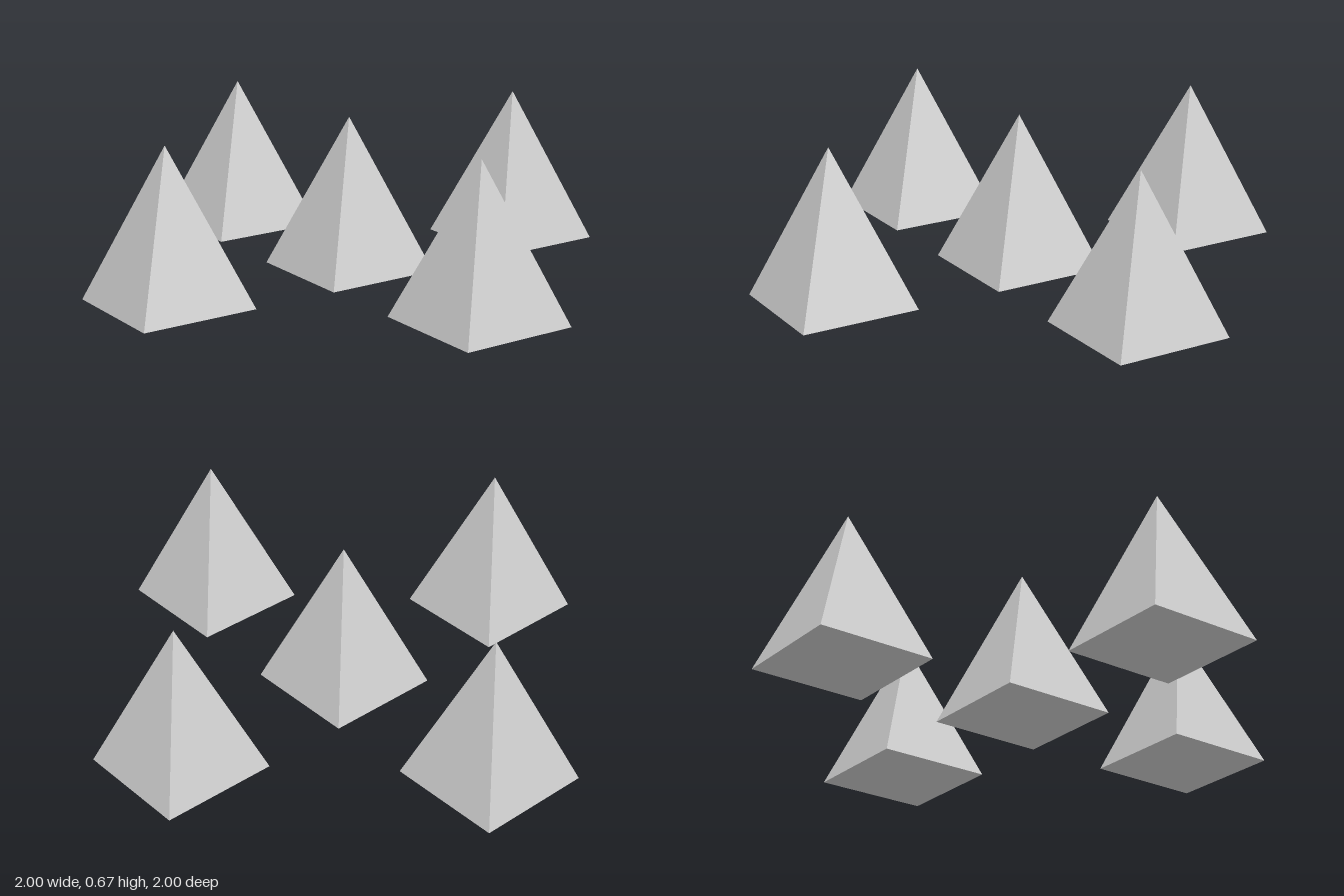
import * as THREE from 'three';

export function createModel() {
  const model = new THREE.Group();
  const radius = 0.366, height = 0.665, offset = 1 - radius;
  const material = new THREE.MeshStandardMaterial({ color: 0xcccccc, flatShading: true });

  // Four-sided pyramid with its corners on the x and z axes, base on the ground
  const geometry = new THREE.ConeGeometry(radius, height, 4);
  geometry.translate(0, height / 2, 0);

  // One pyramid in the middle and one at each corner of a square
  const places = [
    ['centrePyramid', 0, 0],
    ['frontLeftPyramid', 1, 1],
    ['frontRightPyramid', -1, 1],
    ['backLeftPyramid', 1, -1],
    ['backRightPyramid', -1, -1],
  ];
  for (const [name, x, z] of places) {
    const pyramid = new THREE.Mesh(geometry, material);
    pyramid.name = name;
    pyramid.position.set(x * offset, 0, z * offset);
    model.add(pyramid);
  }
  return model;
}
